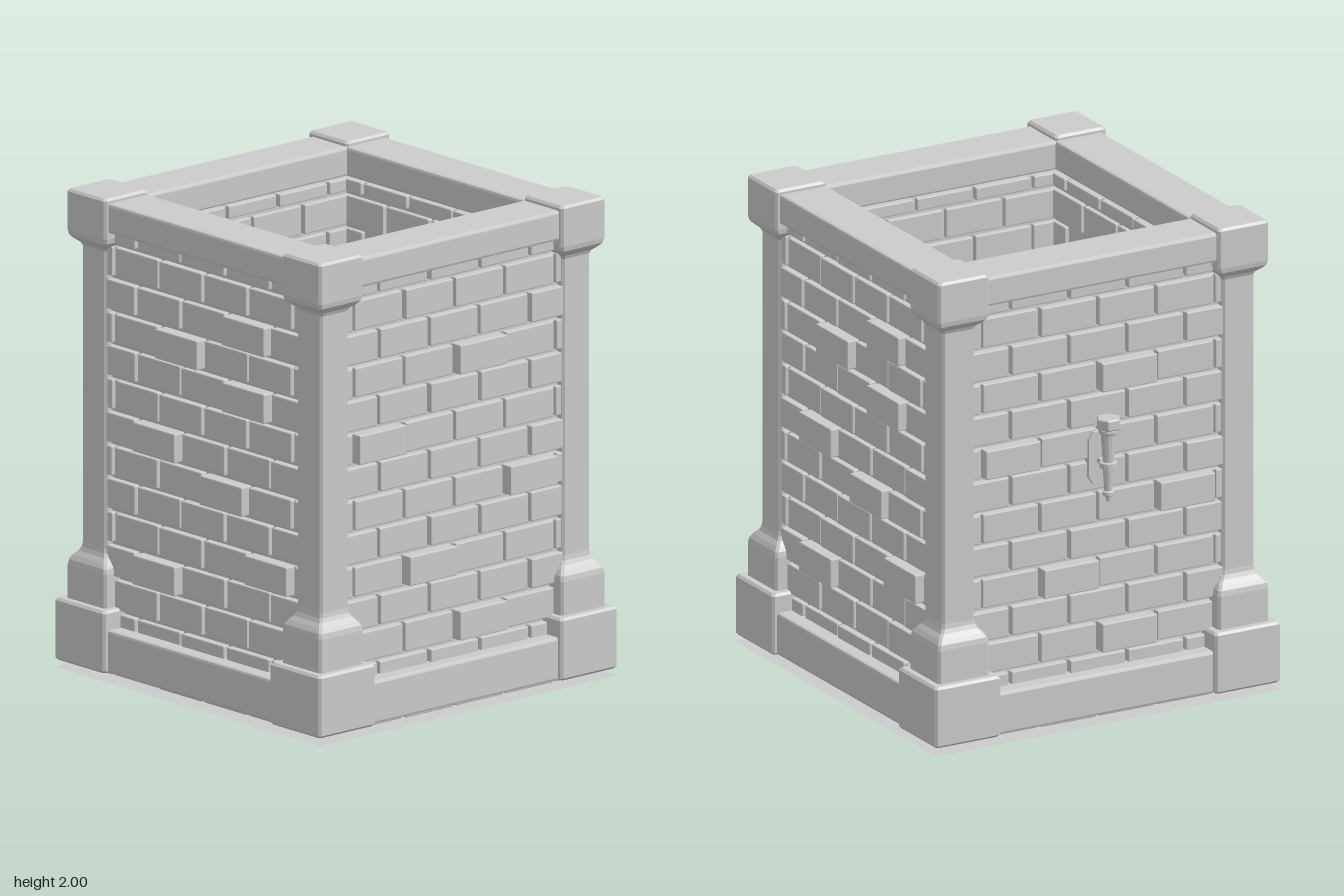
import * as THREE from 'three';
import { RoundedBoxGeometry } from 'three/addons/geometries/RoundedBoxGeometry.js';

const material = new THREE.MeshStandardMaterial({ color: 0xcccccc, flatShading: true, side: THREE.DoubleSide });

function add(parent, name, geometry, x = 0, y = 0, z = 0) {
  const mesh = new THREE.Mesh(geometry, material);
  mesh.name = name;
  mesh.position.set(x, y, z);
  parent.add(mesh);
  return mesh;
}

const block = (w, h, d, r = 0.012) => new RoundedBoxGeometry(w, h, d, 1, r);

// Square column with chamfered corners, from a profile of [half width, height]
function squareColumn(profile, bevel) {
  const points = profile.map(([r, y]) => new THREE.Vector2(r, y));
  const geometry = new THREE.LatheGeometry(points, 8, Math.PI / 8);
  const p = geometry.attributes.position;
  for (let i = 0; i < p.count; i++) {
    const x = p.getX(i), z = p.getZ(i), r = Math.hypot(x, z);
    if (r < 0.001) continue;
    const snap = (c) => Math.sign(c) * (Math.abs(c) / r > 0.7 ? r : r - bevel);
    p.setXYZ(i, snap(x), p.getY(i), snap(z));
  }
  return geometry;
}

// Corner post: plinth, pedestal, shaft and flared capital
const POST = [
  [0, 0.03], [0.143, 0.03], [0.153, 0.04], [0.153, 0.28], [0.143, 0.29], [0.118, 0.29],
  [0.118, 0.43], [0.114, 0.452], [0.102, 0.47], [0.086, 0.488], [0.078, 0.505], [0.075, 0.525],
  [0.075, 1.765], [0.082, 1.78], [0.102, 1.796], [0.114, 1.81], [0.118, 1.83],
  [0.118, 1.99], [0.108, 2.0], [0, 2.0],
];

const PITCH = 0.139, BRICK_H = 0.123, LENGTH = 0.271, GAP = 0.016, END = 0.7, TOP = 1.86;

// Bricks that stand proud of the wall: [row, centre]
const PROUD_FRONT = [[10, 0.135], [8, -0.405], [6, 0.405], [4, -0.135], [2, 0.135]];
const PROUD_SIDE = [[11, 0.27], [10, -0.135], [9, 0.27], [7, -0.27], [6, 0.135], [4, 0.405], [3, -0.27]];

// Wall in running bond, built facing +z
function brickWall(proud) {
  const wall = new THREE.Group();
  wall.name = 'brickWall';
  add(wall, 'mortar', new THREE.BoxGeometry(1.38, TOP - 0.004, 0.165), 0, TOP / 2, 0.6075);
  for (let row = 0; row < 14; row++) {
    const y0 = Math.max(row * PITCH, 0.002);
    const y1 = Math.min(row * PITCH + BRICK_H, TOP);
    const shift = row % 2 ? 0 : LENGTH / 2;
    for (let n = -3; n <= 3; n++) {
      const centre = n * LENGTH + shift;
      const x0 = Math.max(centre - (LENGTH - GAP) / 2, -END);
      const x1 = Math.min(centre + (LENGTH - GAP) / 2, END);
      if (x1 - x0 < 0.03) continue;
      const out = proud.some(([r, c]) => r === row && Math.abs(c - centre) < 0.05);
      const depth = out ? 0.03 : ((row * 5 + n * 3 + 30) % 4) * 0.002;
      add(wall, 'brick', block(x1 - x0, y1 - y0, 0.215, 0.005),
        (x0 + x1) / 2, (y0 + y1) / 2, 0.6075 + depth);
    }
  }
  return wall;
}

// Wall torch with a backplate, an arm and a hexagonal cap
function wallTorch() {
  const torch = new THREE.Group();
  torch.name = 'wallTorch';
  const profile = [
    [0, 0.945], [0.008, 0.95], [0.011, 0.968], [0.024, 0.975], [0.024, 0.99], [0.017, 0.995],
    [0.023, 1.09], [0.036, 1.093], [0.036, 1.115], [0.023, 1.118], [0.031, 1.235],
    [0.04, 1.243], [0.04, 1.255], [0.032, 1.262], [0, 1.262],
  ].map(([r, y]) => new THREE.Vector2(r, y));
  add(torch, 'torchHandle', new THREE.LatheGeometry(profile, 12));
  const cap = [[0, 1.258], [0.046, 1.258], [0.052, 1.264], [0.052, 1.301], [0.047, 1.306], [0, 1.306]]
    .map(([r, y]) => new THREE.Vector2(r, y));
  add(torch, 'torchCap', new THREE.LatheGeometry(cap, 6, Math.PI / 6));
  add(torch, 'torchArm', new THREE.BoxGeometry(0.025, 0.02, 0.09), 0, 1.104, 0.055);

  const plate = new THREE.Shape();
  [[-0.03, -0.11], [0.03, -0.11], [0.05, -0.08], [0.05, 0.08], [0.03, 0.11], [-0.03, 0.11], [-0.05, 0.08], [-0.05, -0.08]]
    .forEach(([x, y], i) => (i ? plate.lineTo(x, y) : plate.moveTo(x, y)));
  add(torch, 'torchBackplate', new THREE.ExtrudeGeometry(plate, { depth: 0.035, bevelEnabled: false }), 0, 1.115, 0.068);
  return torch;
}

export function createModel() {
  const model = new THREE.Group();
  const tower = new THREE.Group();
  tower.name = 'tower';
  tower.position.z = 0.02;
  model.add(tower);

  // Ground sheet, also the floor inside
  add(tower, 'floor', new THREE.PlaneGeometry(1.61, 1.61).rotateX(-Math.PI / 2));

  // Four sides: wall, lower beam and upper beam
  for (let i = 0; i < 4; i++) {
    const side = new THREE.Group();
    side.name = 'side';
    side.rotation.y = i * Math.PI / 2;
    side.add(brickWall(i % 2 ? PROUD_SIDE : PROUD_FRONT));
    add(side, 'lowerBeam', block(1.2, 0.18, 0.25), 0, 0.12, 0.66);
    add(side, 'upperBeam', block(1.2, 0.125, 0.22), 0, 1.9175, 0.642);
    tower.add(side);
  }

  // Corner posts
  const post = squareColumn(POST, 0.01);
  for (const x of [-1, 1]) {
    for (const z of [-1, 1]) add(tower, 'cornerPost', post, x * 0.652, 0, z * 0.652);
  }

  const torch = wallTorch();
  torch.position.z = -0.783;
  model.add(torch);
  return model;
}
